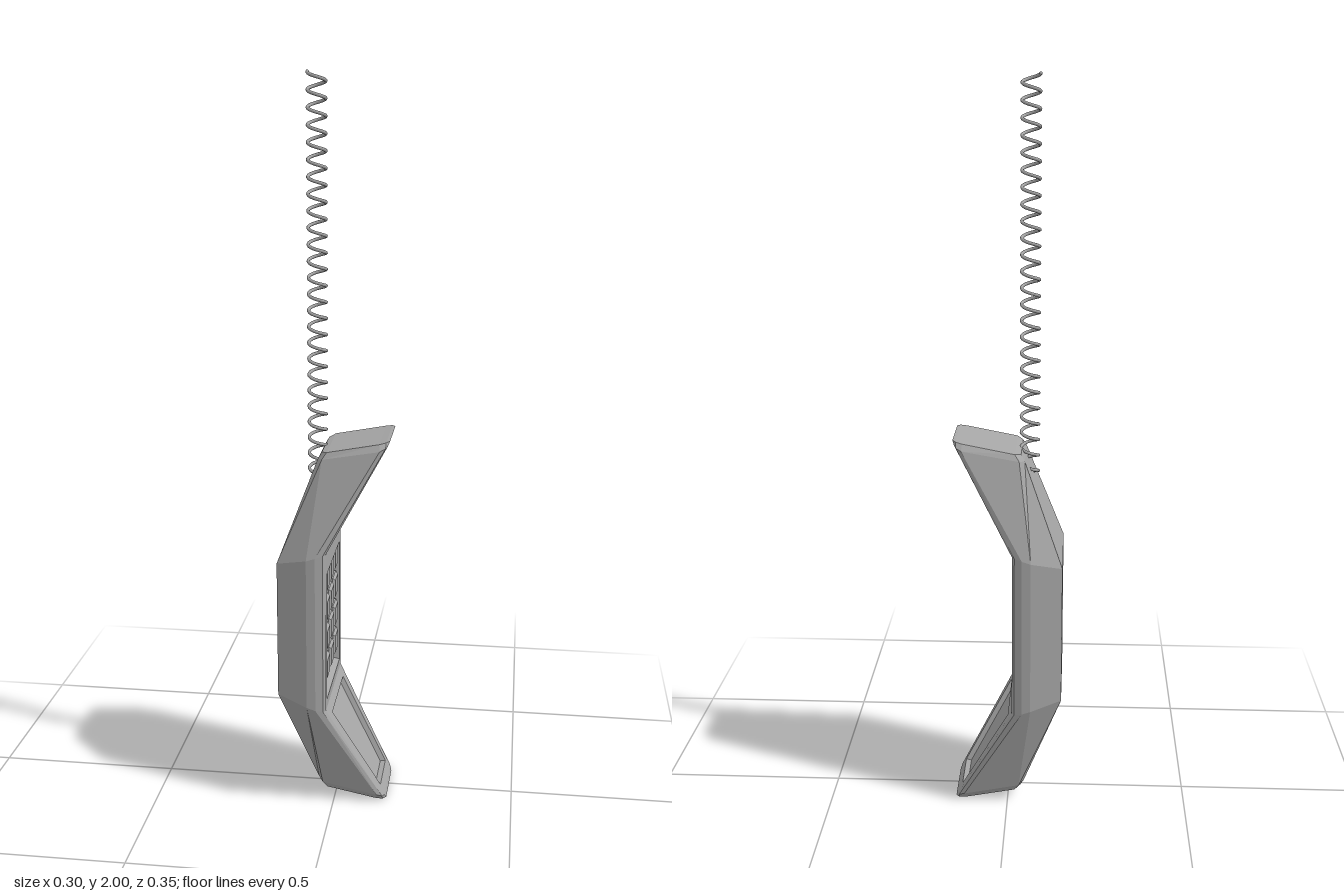
import * as THREE from 'three';

const grey = new THREE.MeshStandardMaterial({ color: 0xa6a6a6 });
grey.name = 'grey plastic';

const V = (x, y, z) => new THREE.Vector3(x, y, z);
const HEIGHT = 1.055;

// Half cross-sections, from the back to the face side: [x, y, z]
const MID = [[-0.15, 0.72, 0.143], [-0.066, 0.742, 0.173], [-0.042, 0.75, 0.173], [-0.022, 0.755, 0.166], [-0.015, 0.756, 0.155]];
const END = [[-0.046, 1.0, 0.08], [-0.032, 1.005, 0.104], [0.122, 1.033, 0.108], [0.137, 1.04, 0.1], [0.142, 1.043, 0.086]];
const CAP = [[-0.036, 1.018, 0.075], [-0.02, 1.023, 0.096], [0.12, 1.05, 0.096], [0.138, 1.054, 0.09], [0.147, 1.055, 0.076]];

// Full ring: left half, then the mirrored right half
function ring(half, flip) {
  const pts = half.map(([x, y, z]) => V(x, flip ? HEIGHT - y : y, z));
  return [...pts, ...pts.map(p => V(p.x, p.y, -p.z)).reverse()];
}

function quad(out, a, b, c, d) {
  for (const p of [a, b, c, a, c, d]) out.push(p.x, p.y, p.z);
}

// Joins two loops of four corners with a band of quads
function band(out, outer, inner) {
  for (let k = 0; k < 4; k++) {
    const n = (k + 1) % 4;
    quad(out, outer[k], outer[n], inner[n], inner[k]);
  }
}

// Face panel with a sunken tray; rows are [position along panel, half width]
function tray(out, corners, low, high, depth) {
  const bottom = corners[0].clone().setZ(0), top = corners[3].clone().setZ(0);
  const at = ([t, z]) => bottom.clone().lerp(top, t).setZ(z);
  const rim = [at(low), at([low[0], -low[1]]), at([high[0], -high[1]]), at(high)];
  const inward = corners[1].clone().sub(corners[0])
    .cross(corners[3].clone().sub(corners[0])).normalize().multiplyScalar(-depth);
  const floor = rim.map(p => {
    const q = p.clone().lerp(at([(low[0] + high[0]) / 2, 0]), 0.04);
    return q.add(inward);
  });
  band(out, corners, rim);
  band(out, rim, floor);
  quad(out, ...floor);
}

function handsetGeometry() {
  const out = [];
  const rings = [ring(CAP, true), ring(END, true), ring(MID, true), ring(MID), ring(END), ring(CAP)];
  const trays = {
    1: [[0.08, 0.07], [0.92, 0.115], 0.014],
    2: [[0.055, 0.13], [0.86, 0.13], 0.018],
    3: [[0.08, 0.115], [0.92, 0.07], 0.014],
  };
  for (let r = 0; r < rings.length - 1; r++) {
    const a = rings[r], b = rings[r + 1];
    for (let i = 0; i < a.length; i++) {
      const n = (i + 1) % a.length;
      if (i === 4 && trays[r]) tray(out, [a[i], a[n], b[n], b[i]], ...trays[r]);
      else quad(out, a[i], a[n], b[n], b[i]);
    }
  }
  // End caps, closed across from side to side
  const low = rings[0], high = rings[5];
  for (let i = 0; i < 4; i++) {
    quad(out, high[i], high[i + 1], high[8 - i], high[9 - i]);
    quad(out, low[i + 1], low[i], low[9 - i], low[8 - i]);
  }
  const geo = new THREE.BufferGeometry();
  geo.setAttribute('position', new THREE.Float32BufferAttribute(out, 3));
  geo.computeVertexNormals();
  return geo;
}

// Bevelled square key facing +x
function keyGeometry() {
  const s = 0.025;
  const shape = new THREE.Shape([
    new THREE.Vector2(-s, -s), new THREE.Vector2(s, -s), new THREE.Vector2(s, s), new THREE.Vector2(-s, s),
  ]);
  const geo = new THREE.ExtrudeGeometry(shape, {
    depth: 0.01, bevelEnabled: true, bevelThickness: 0.007, bevelSize: 0.007, bevelSegments: 1,
  });
  return geo.rotateY(Math.PI / 2);
}

class Coil extends THREE.Curve {
  getPoint(t, target = new THREE.Vector3()) {
    const angle = t * 24.5 * Math.PI * 2;
    return target.set(-0.057 + 0.0235 * Math.cos(angle), 0.93 + t * 1.066, 0.0235 * Math.sin(angle));
  }
}

export function createModel() {
  const model = new THREE.Group();
  model.name = 'telephoneHandset';
  const add = (geo, name, parent = model) => {
    const mesh = new THREE.Mesh(geo, grey);
    mesh.name = name;
    parent.add(mesh);
    return mesh;
  };

  add(handsetGeometry(), 'handsetBody');

  // Keypad, three columns by four rows
  const keypad = new THREE.Group();
  keypad.name = 'keypad';
  model.add(keypad);
  const key = keyGeometry();
  for (let row = 0; row < 4; row++) {
    for (let col = -1; col <= 1; col++) {
      add(key, 'key', keypad).position.set(-0.034, 0.402 + row * 0.0865, col * 0.084);
    }
  }

  // Coiled cord with closed ends
  const coil = new Coil();
  add(new THREE.TubeGeometry(coil, 600, 0.0045, 8), 'coiledCord');
  for (const t of [0, 1]) {
    add(new THREE.SphereGeometry(0.0045, 8, 6), 'cordEnd').position.copy(coil.getPoint(t));
  }
  return model;
}
